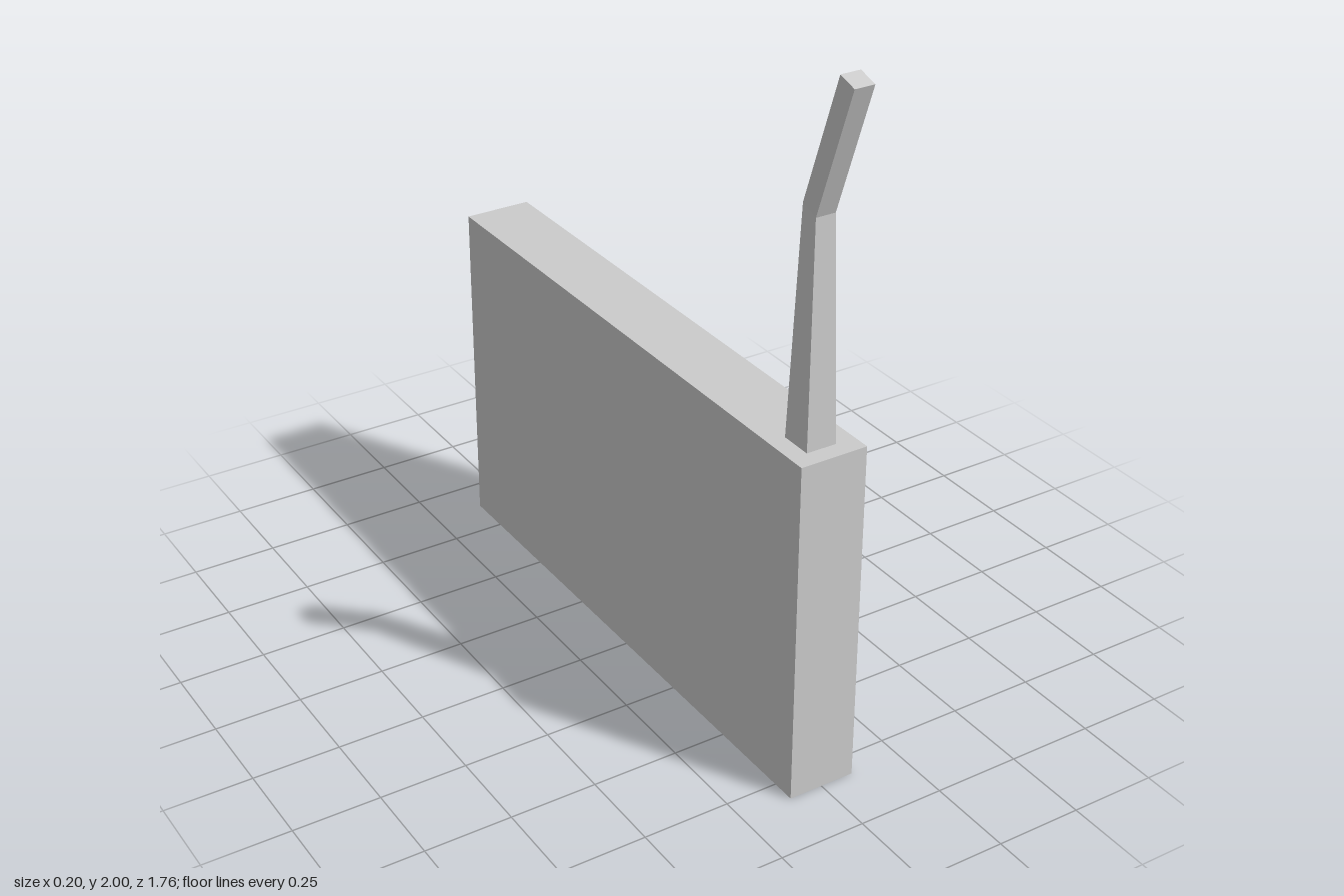
import * as THREE from 'three';

const HALF = 0.098, HEIGHT = 1, BACK = -0.88, FRONT = 0.82;
// Recesses in the +x side: z range, y range, depth
const RECESSES = [
  { name: 'screenRecess', z: [-0.745, -0.175], y: [0.492, 0.83], depth: 0.025 },
  { name: 'buttonRecess', z: [-0.53, -0.36], y: [0.233, 0.444], depth: 0.05 },
];

const material = new THREE.MeshStandardMaterial({ color: 0xcccccc, flatShading: true });

function part(name, geometry) {
  const mesh = new THREE.Mesh(geometry, material);
  mesh.name = name;
  return mesh;
}

// Box between two corners with its +x side left open; inward turns the faces inside
function openBox(x, y, z, inward = false) {
  const g = new THREE.BoxGeometry(x[1] - x[0], y[1] - y[0], z[1] - z[0]);
  g.translate((x[0] + x[1]) / 2, (y[0] + y[1]) / 2, (z[0] + z[1]) / 2);
  const index = Array.from(g.index.array).slice(6);
  g.setIndex(inward ? index.reverse() : index);
  g.computeVertexNormals();
  return g;
}

function rectangle(path, z, y) {
  path.moveTo(-z[1], y[0]);
  path.lineTo(-z[0], y[0]);
  path.lineTo(-z[0], y[1]);
  path.lineTo(-z[1], y[1]);
  path.closePath();
  return path;
}

// Four-sided loft; each ring gives x limits and its front and back [y, z] points
function loft(rings) {
  const positions = [], index = [];
  for (const { x, front, back } of rings) {
    positions.push(x[0], ...front, x[1], ...front, x[1], ...back, x[0], ...back);
  }
  for (let r = 0; r < rings.length - 1; r++) {
    for (let i = 0; i < 4; i++) {
      const a = r * 4 + i, b = r * 4 + (i + 1) % 4;
      index.push(a, b, b + 4, a, b + 4, a + 4);
    }
  }
  const t = (rings.length - 1) * 4;
  index.push(t, t + 1, t + 2, t, t + 2, t + 3);
  const g = new THREE.BufferGeometry();
  g.setAttribute('position', new THREE.Float32BufferAttribute(positions, 3));
  g.setIndex(index);
  const flat = g.toNonIndexed();
  flat.computeVertexNormals();
  return flat;
}

export function createModel() {
  const model = new THREE.Group();
  model.name = 'handset';

  // Slab body and its pierced face panel
  model.add(part('body', openBox([-HALF, HALF], [0, HEIGHT], [BACK, FRONT])));
  const face = rectangle(new THREE.Shape(), [BACK, FRONT], [0, HEIGHT]);
  for (const r of RECESSES) face.holes.push(rectangle(new THREE.Path(), r.z, r.y));
  const panel = new THREE.ShapeGeometry(face);
  panel.rotateY(Math.PI / 2).translate(HALF, 0, 0);
  model.add(part('facePanel', panel));

  // Sunken screen and button
  for (const r of RECESSES) {
    model.add(part(r.name, openBox([HALF - r.depth, HALF], r.y, r.z, true)));
  }

  // Tapered antenna, bent forward at the top
  model.add(part('antenna', loft([
    { x: [-0.047, 0.041], front: [1, 0.77], back: [1, 0.677] },
    { x: [-0.031, 0.026], front: [1.62, 0.752], back: [1.64, 0.699] },
    { x: [-0.031, 0.026], front: [1.983, 0.88], back: [2, 0.825] },
  ])));

  return model;
}
